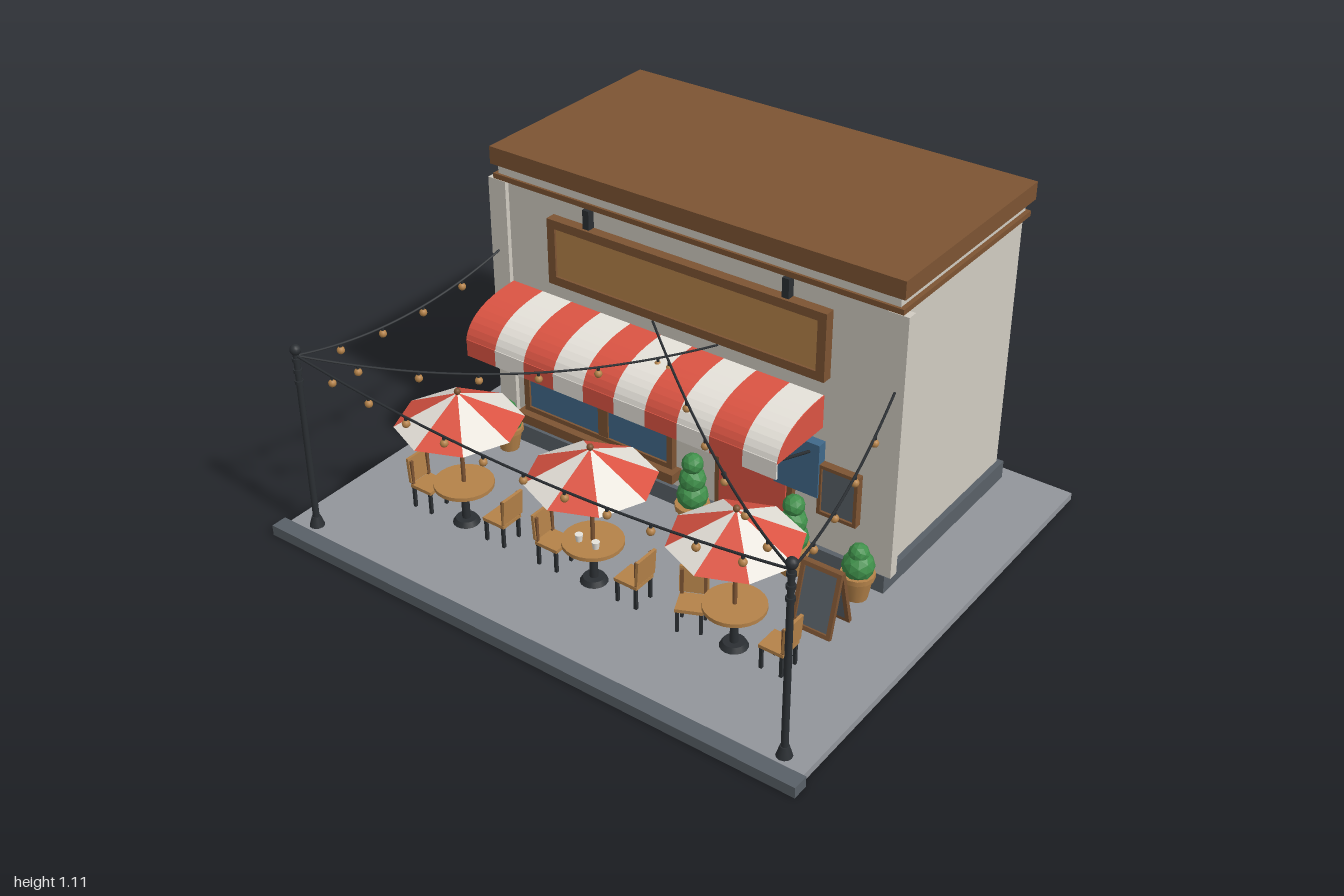
import * as THREE from 'three';

const mat = (name, color, side = THREE.FrontSide) => {
  const m = new THREE.MeshStandardMaterial({ color, side });
  m.name = name;
  return m;
};

export function createModel() {
  const root = new THREE.Group();
  root.name = 'streetCafe';
  const wall = mat('plaster', 0xd0cbc1), slate = mat('slate', 0x596067), paving = mat('paving', 0x92959b);
  const brown = mat('darkWood', 0x7d5433), tan = mat('lightWood', 0xb48249), dark = mat('iron', 0x2b2f33);
  const green = mat('leaf', 0x3f8f4a), blue = mat('glass', 0x40698a);
  const red = mat('redCloth', 0xdb5443, THREE.DoubleSide), white = mat('whiteCloth', 0xe6e2da, THREE.DoubleSide);

  const add = (name, geo, m, x = 0, y = 0, z = 0, parent = root) => {
    const mesh = new THREE.Mesh(geo, m);
    mesh.name = name;
    mesh.position.set(x, y, z);
    parent.add(mesh);
    return mesh;
  };
  // box given by its limits on each axis
  const box = (name, m, x0, x1, y0, y1, z0, z1, parent = root) =>
    add(name, new THREE.BoxGeometry(x1 - x0, y1 - y0, z1 - z0), m, (x0 + x1) / 2, (y0 + y1) / 2, (z0 + z1) / 2, parent);
  const cyl = (name, m, rTop, rBottom, y0, y1, x, z, parent = root, sides = 16) =>
    add(name, new THREE.CylinderGeometry(rTop, rBottom, y1 - y0, sides), m, x, (y0 + y1) / 2, z, parent);
  const group = (name, x = 0, y = 0, z = 0, parent = root) => {
    const g = new THREE.Group();
    g.name = name;
    g.position.set(x, y, z);
    parent.add(g);
    return g;
  };
  // rectangular frame with a panel set into it
  const framed = (name, frameMat, panelMat, x0, x1, y0, y1, z0, z1, t, parent = root) => {
    const g = group(name, 0, 0, 0, parent);
    for (const [a, b] of [[x0, x0 + t], [x1 - t, x1]]) box(name + 'Stile', frameMat, a, b, y0, y1, z0, z1, g);
    for (const [a, b] of [[y0, y0 + t], [y1 - t, y1]]) box(name + 'Rail', frameMat, x0 + t, x1 - t, a, b, z0, z1, g);
    box(name + 'Panel', panelMat, x0 + t, x1 - t, y0 + t, y1 - t, z0, z1 - 0.008, g);
    return g;
  };

  // ground
  box('pavement', paving, -0.985, 0.985, 0, 0.025, -0.85, 0.8);
  box('curb', slate, -1, 1, 0, 0.037, 0.79, 0.845);

  // building
  box('walls', wall, -0.735, 0.735, 0.025, 1.0, -0.785, -0.04);
  box('plinth', slate, -0.755, 0.755, 0.025, 0.09, -0.797, -0.022);
  for (const s of [-1, 1]) box('pilaster', wall, s * 0.74 - 0.035, s * 0.74 + 0.035, 0.09, 1.0, -0.06, -0.024);
  box('lowerCornice', brown, -0.755, 0.755, 1.0, 1.018, -0.795, -0.026);
  box('frieze', wall, -0.74, 0.74, 1.018, 1.052, -0.785, -0.035);
  box('roof', brown, -0.76, 0.76, 1.052, 1.112, -0.81, -0.02);

  // shop sign and its hangers
  framed('sign', brown, tan, -0.52, 0.52, 0.705, 0.935, -0.04, -0.004, 0.03);
  for (const s of [-1, 1]) box('signHanger', dark, s * 0.37 - 0.012, s * 0.37 + 0.012, 0.93, 1.0, -0.04, -0.014);

  // shop front
  framed('shopWindow', brown, blue, -0.66, -0.04, 0.16, 0.5, -0.04, -0.016, 0.022);
  box('mullion', brown, -0.345, -0.305, 0.18, 0.48, -0.035, -0.018);
  box('windowSill', brown, -0.675, -0.02, 0.13, 0.165, -0.04, 0.012);
  box('doorFrame', brown, 0.125, 0.415, 0.025, 0.5, -0.04, -0.02);
  box('door', red, 0.145, 0.395, 0.027, 0.48, -0.035, -0.014);
  add('doorHandle', new THREE.SphereGeometry(0.009, 10, 8), dark, 0.17, 0.24, -0.006);
  box('sideWindow', blue, 0.355, 0.515, 0.29, 0.48, -0.04, -0.006);
  framed('wallMenu', brown, slate, 0.51, 0.65, 0.23, 0.41, -0.04, -0.012, 0.012);

  // striped awning
  const awning = group('awning');
  const profile = new THREE.Shape();
  profile.moveTo(-0.04, 0.525);
  profile.lineTo(0.205, 0.525);
  profile.bezierCurveTo(0.19, 0.6, 0.1, 0.638, -0.04, 0.638);
  profile.closePath();
  const slice = depth => new THREE.ExtrudeGeometry(profile, { depth, bevelEnabled: false, curveSegments: 10 }).rotateY(-Math.PI / 2);
  for (let i = 0; i < 10; i++) {
    const x = -0.7 + i * 0.12, m = i % 2 ? white : red;
    add('awningStripe', slice(0.12), m, x + 0.12, 0, 0, awning);
    box('awningValance', m, x, x + 0.12, 0.47, 0.53, 0.199, 0.206, awning);
  }
  for (const x of [-0.7, 0.503]) add('awningEnd', slice(0.003), red, x, 0, 0, awning);
  for (const x of [-0.68, 0.48]) {
    const arm = new THREE.LineCurve3(new THREE.Vector3(x, 0.44, -0.03), new THREE.Vector3(x, 0.52, 0.198));
    add('awningArm', new THREE.TubeGeometry(arm, 1, 0.005, 6), dark, 0, 0, 0, awning);
  }

  // chair with its back towards +x
  const chair = (x, angle, parent) => {
    const g = group('chair', x, 0, 0, parent);
    g.rotation.y = angle;
    box('chairSeat', tan, -0.043, 0.043, 0.1, 0.112, -0.043, 0.043, g);
    for (const lx of [-0.035, 0.035]) for (const lz of [-0.036, 0.036]) {
      box('chairLeg', dark, lx - 0.005, lx + 0.005, 0.025, 0.1, lz - 0.005, lz + 0.005, g);
    }
    const back = box('chairBack', tan, 0.04, 0.05, 0.118, 0.208, -0.045, 0.045, g);
    back.rotation.z = -0.07;
    for (const z of [-0.036, 0.036]) box('backPost', brown, 0.034, 0.042, 0.11, 0.2, z - 0.005, z + 0.005, g);
  };

  // tables with parasols
  [-0.525, 0, 0.525].forEach((x, n) => {
    const g = group('diningSet', x, 0, 0.445);
    cyl('tableTop', tan, 0.098, 0.098, 0.168, 0.181, 0, 0, g, 24);
    cyl('tableColumn', dark, 0.012, 0.014, 0.03, 0.168, 0, 0, g);
    cyl('tableBase', dark, 0.035, 0.045, 0.025, 0.042, 0, 0, g);
    cyl('parasolPole', brown, 0.007, 0.007, 0.18, 0.51, 0, 0, g, 8);
    for (let i = 0; i < 8; i++) {
      const wedge = new THREE.ConeGeometry(0.205, 0.105, 1, 1, true, i * Math.PI / 4, Math.PI / 4).toNonIndexed();
      wedge.computeVertexNormals();
      add('parasolPanel', wedge, i % 2 ? white : red, 0, 0.46, 0, g);
    }
    add('parasolFinial', new THREE.SphereGeometry(0.011, 10, 8), brown, 0, 0.518, 0, g);
    chair(0.155, 0, g);
    chair(-0.155, n === 2 ? 2.0 : Math.PI, g);
    if (n === 1) for (const cx of [-0.03, 0.035]) cyl('cup', white, 0.013, 0.01, 0.181, 0.205, cx, 0.03, g, 12);
  });

  // potted shrubs
  const leafBall = r => {
    const geo = new THREE.IcosahedronGeometry(r, 1);
    geo.computeVertexNormals();
    return geo;
  };
  const shrub = (x, z, tiers, scale) => {
    const g = group('pottedShrub', x, 0.025, z);
    g.scale.setScalar(scale);
    cyl('pot', tan, 0.052, 0.037, 0, 0.085, 0, 0, g, 12);
    cyl('potRim', tan, 0.058, 0.058, 0.08, 0.098, 0, 0, g, 12);
    tiers.forEach(([y, r], i) => {
      add('foliage', leafBall(r), green, 0, y, 0, g).rotation.y = i * 0.7;
    });
  };
  const tall = [[0.13, 0.052], [0.19, 0.045], [0.248, 0.036]], low = [[0.125, 0.055], [0.172, 0.035]];
  shrub(-0.695, 0.035, low, 0.9);
  shrub(0.085, 0.045, tall, 1);
  shrub(0.465, 0.045, tall, 1);
  shrub(0.695, 0.035, low, 0.95);

  // folding pavement board
  const board = group('pavementBoard', 0.678, 0.24, 0.212);
  for (const s of [0, 1]) {
    const side = group('boardSide', 0, 0, 0, board);
    side.rotation.order = 'YXZ';
    side.rotation.set(-0.25, s * Math.PI, 0);
    framed('boardLeaf', brown, slate, -0.07, 0.07, -0.217, 0, -0.004, 0.01, 0.014, side);
  }

  // lamp posts
  for (const x of [-0.9, 0.9]) {
    const g = group('lightPost', x, 0, 0.745);
    cyl('post', dark, 0.01, 0.011, 0.025, 0.68, 0, 0, g, 12);
    cyl('postFoot', dark, 0.014, 0.025, 0.025, 0.06, 0, 0, g, 12);
    for (const y of [0.56, 0.6, 0.64]) cyl('postCollar', dark, 0.014, 0.014, y, y + 0.012, 0, 0, g, 12);
    add('postBall', new THREE.SphereGeometry(0.018, 12, 10), dark, 0, 0.68, 0, g);
  }

  // sagging cables with hanging bulbs
  const cable = (a, b, sag, bulbs) => {
    const g = group('stringLights');
    const p = new THREE.Vector3(...a), q = new THREE.Vector3(...b), mid = p.clone().lerp(q, 0.5);
    mid.y -= 2 * sag;
    const curve = new THREE.QuadraticBezierCurve3(p, mid, q);
    add('cable', new THREE.TubeGeometry(curve, 24, 0.004, 6), dark, 0, 0, 0, g);
    for (let i = 1; i <= bulbs; i++) {
      const v = curve.getPoint(i / (bulbs + 1));
      cyl('bulbSocket', dark, 0.005, 0.005, v.y - 0.014, v.y, v.x, v.z, g, 6);
      add('bulb', new THREE.SphereGeometry(0.013, 10, 8), tan, v.x, v.y - 0.023, v.z, g);
    }
  };
  cable([-0.9, 0.66, 0.745], [0.9, 0.66, 0.745], 0.07, 11);
  for (const s of [-1, 1]) {
    cable([s * 0.9, 0.66, 0.745], [s * 0.745, 0.745, -0.024], 0.06, 4);
    cable([s * 0.9, 0.66, 0.745], [s * -0.125, 0.685, -0.03], 0.085, 6);
  }
  return root;
}
